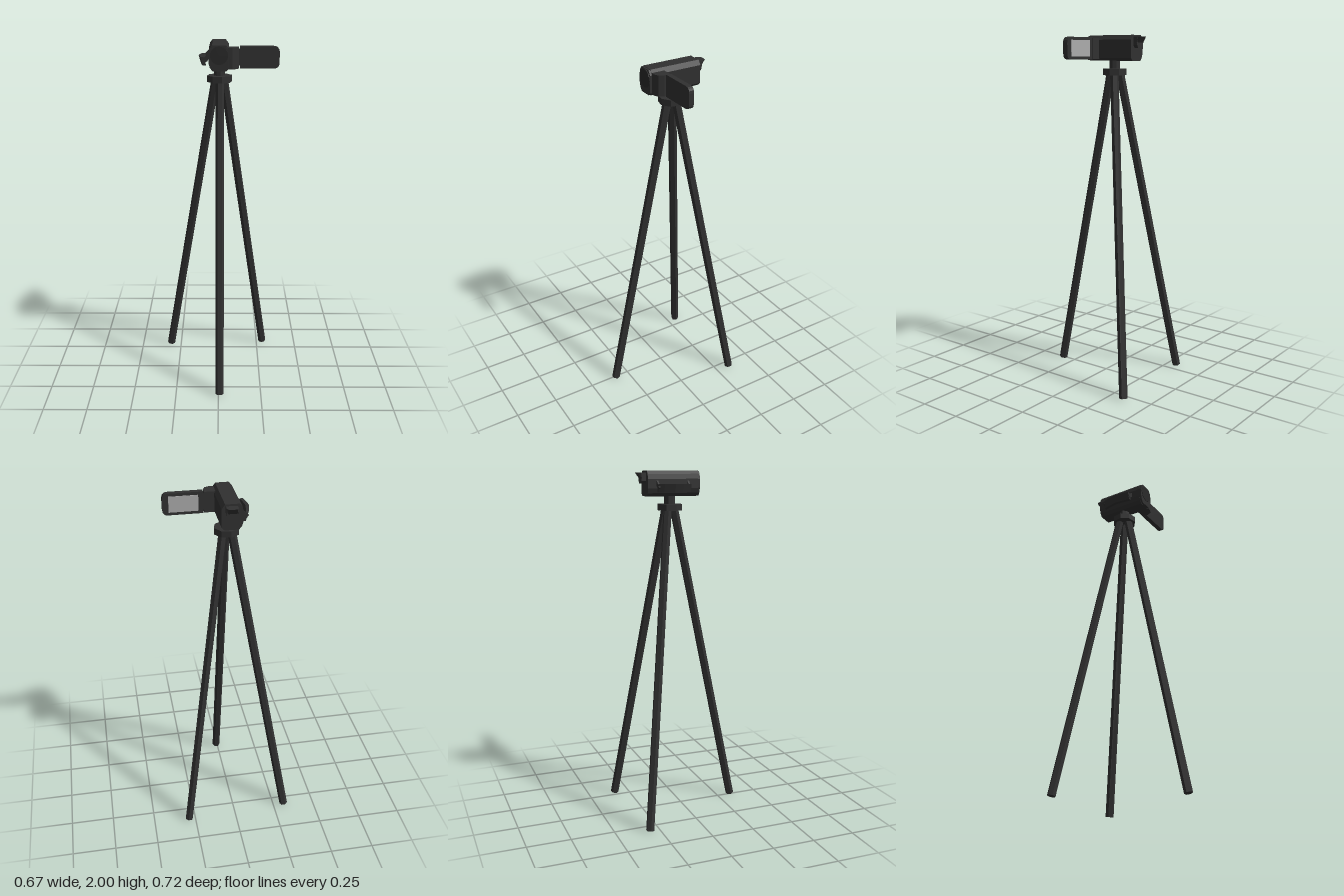
import * as THREE from 'three';

const mat = (name, color) => {
  const m = new THREE.MeshStandardMaterial({ color });
  m.name = name;
  return m;
};

export function createModel() {
  const model = new THREE.Group();
  model.name = 'camcorderOnTripod';
  const black = mat('charcoal', 0x303030);
  const dark = mat('darkLens', 0x292929);
  const grey = mat('screenGrey', 0xacacac);

  // Adds a faceted mesh
  const add = (name, geometry, material = black) => {
    const g = geometry.index ? geometry.toNonIndexed() : geometry;
    g.computeVertexNormals();
    const mesh = new THREE.Mesh(g, material);
    mesh.name = name;
    model.add(mesh);
    return mesh;
  };
  const shapeOf = (pts) => new THREE.Shape(pts.map(([x, y]) => new THREE.Vector2(x, y)));
  // Front outline (x, y) extruded from z0 to z1
  const extrudeZ = (shape, z0, z1) =>
    new THREE.ExtrudeGeometry(shape, { depth: z1 - z0, bevelEnabled: false, curveSegments: 4 }).translate(0, 0, z0);
  // Plan outline (x, z) extruded from y0 to y1
  const extrudeY = (pts, y0, y1) =>
    new THREE.ExtrudeGeometry(shapeOf(pts.map(([x, z]) => [x, -z])), { depth: y1 - y0, bevelEnabled: false })
      .rotateX(-Math.PI / 2).translate(0, y0, 0);
  const box = (w, h, d, x, y, z) => new THREE.BoxGeometry(w, h, d).translate(x, y, z);

  // Tripod legs: six-sided tubes, top point to foot point
  const legs = [
    ['frontLeg', [0.007, -0.038], [0.007, 0.335]],
    ['rightLeg', [-0.018, -0.085], [-0.315, -0.308]],
    ['leftLeg', [0.03, -0.08], [0.288, -0.338]],
  ];
  for (const [name, top, foot] of legs) {
    const dx = foot[0] - top[0], dz = foot[1] - top[1];
    const run = Math.hypot(dx, dz), rise = 1.785;
    const leg = add(name, new THREE.CylinderGeometry(0.024, 0.024, Math.hypot(run, rise), 6).rotateY(Math.PI / 6));
    leg.rotation.order = 'YXZ';
    leg.rotation.y = Math.atan2(dx, dz);
    leg.rotation.x = -Math.atan2(run, rise);
    leg.position.set((top[0] + foot[0]) / 2, 0.005 + rise / 2, (top[1] + foot[1]) / 2);
  }

  // Tripod head
  add('headPlate', new THREE.CylinderGeometry(0.071, 0.071, 0.036, 8).rotateY(0.2).translate(0.005, 1.798, -0.065));
  add('headNeck', new THREE.CylinderGeometry(0.031, 0.031, 0.06, 8).rotateY(0.2).translate(0.005, 1.84, -0.065));

  // Camera body with bevelled edges and a slightly smaller front ring
  const outline = [[-0.033, 1.86], [0.042, 1.86], [0.058, 1.875], [0.058, 1.975], [0.04, 2],
    [-0.035, 2], [-0.05, 1.982], [-0.056, 1.955], [-0.056, 1.905], [-0.048, 1.878]];
  add('body', extrudeZ(shapeOf(outline), -0.213, 0.084));
  const ring = outline.map(([x, y]) => [0.002 + (x - 0.002) * 0.95, 1.93 + (y - 1.93) * 0.97]);
  add('frontRing', extrudeZ(shapeOf(ring), 0.084, 0.096));
  add('lens', new THREE.CylinderGeometry(0.05, 0.05, 0.006, 16).rotateX(Math.PI / 2).translate(0.002, 1.945, 0.096), dark);

  // Viewfinder tube and flared eyecup
  add('viewfinder', extrudeZ(shapeOf([[-0.012, 1.93], [0.024, 1.93], [0.034, 1.945], [0.034, 1.978],
    [0.024, 1.99], [-0.012, 1.99], [-0.022, 1.978], [-0.022, 1.945]]), -0.238, -0.2));
  const cup = extrudeY([[-0.025, -0.215], [0.037, -0.215], [0.037, -0.244], [0.028, -0.262],
    [-0.015, -0.262], [-0.025, -0.244]], 1.955, 1.99);
  const cp = cup.attributes.position;
  for (let i = 0; i < cp.count; i++) {
    if (cp.getY(i) < 1.97 && cp.getZ(i) < -0.23) cp.setZ(i, -0.236);
  }
  add('eyecup', cup);

  // Hinge block and fold-out screen
  add('hingeBlock', extrudeY([[0.05, 0.008], [0.112, 0.008], [0.112, 0.045], [0.101, 0.072],
    [0.075, 0.084], [0.05, 0.084]], 1.87, 1.985));
  add('hingePin', box(0.02, 0.09, 0.012, 0.113, 1.928, 0.022));
  const x0 = 0.117, x1 = 0.334, y0 = 1.868, y1 = 1.988, r = 0.032;
  const panel = new THREE.Shape();
  panel.moveTo(x0, y0);
  panel.lineTo(x1 - r, y0);
  panel.quadraticCurveTo(x1, y0, x1, y0 + r);
  panel.lineTo(x1, y1 - r);
  panel.quadraticCurveTo(x1, y1, x1 - r, y1);
  panel.lineTo(x0, y1);
  add('screenPanel', extrudeZ(panel, 0.008, 0.037));
  add('screen', box(0.158, 0.088, 0.004, 0.222, 1.928, 0.007), grey);

  // Hand strap: curved band leaning outwards at the top, held by two arms
  const strap = extrudeY([[-0.087, -0.162], [-0.097, -0.13], [-0.109, -0.07], [-0.104, -0.02], [-0.096, 0.027],
    [-0.078, 0.027], [-0.085, -0.02], [-0.09, -0.07], [-0.08, -0.13], [-0.072, -0.162]], 1.882, 1.928);
  const sp = strap.attributes.position;
  for (let i = 0; i < sp.count; i++) sp.setX(i, sp.getX(i) - (sp.getY(i) - 1.915) * 0.3);
  add('handStrap', strap);
  for (const z of [-0.158, 0.023]) {
    const arm = add('strapArm', new THREE.BoxGeometry(0.055, 0.022, 0.01));
    arm.position.set(-0.066, 1.922, z);
    arm.rotation.z = 0.75;
  }
  return model;
}
